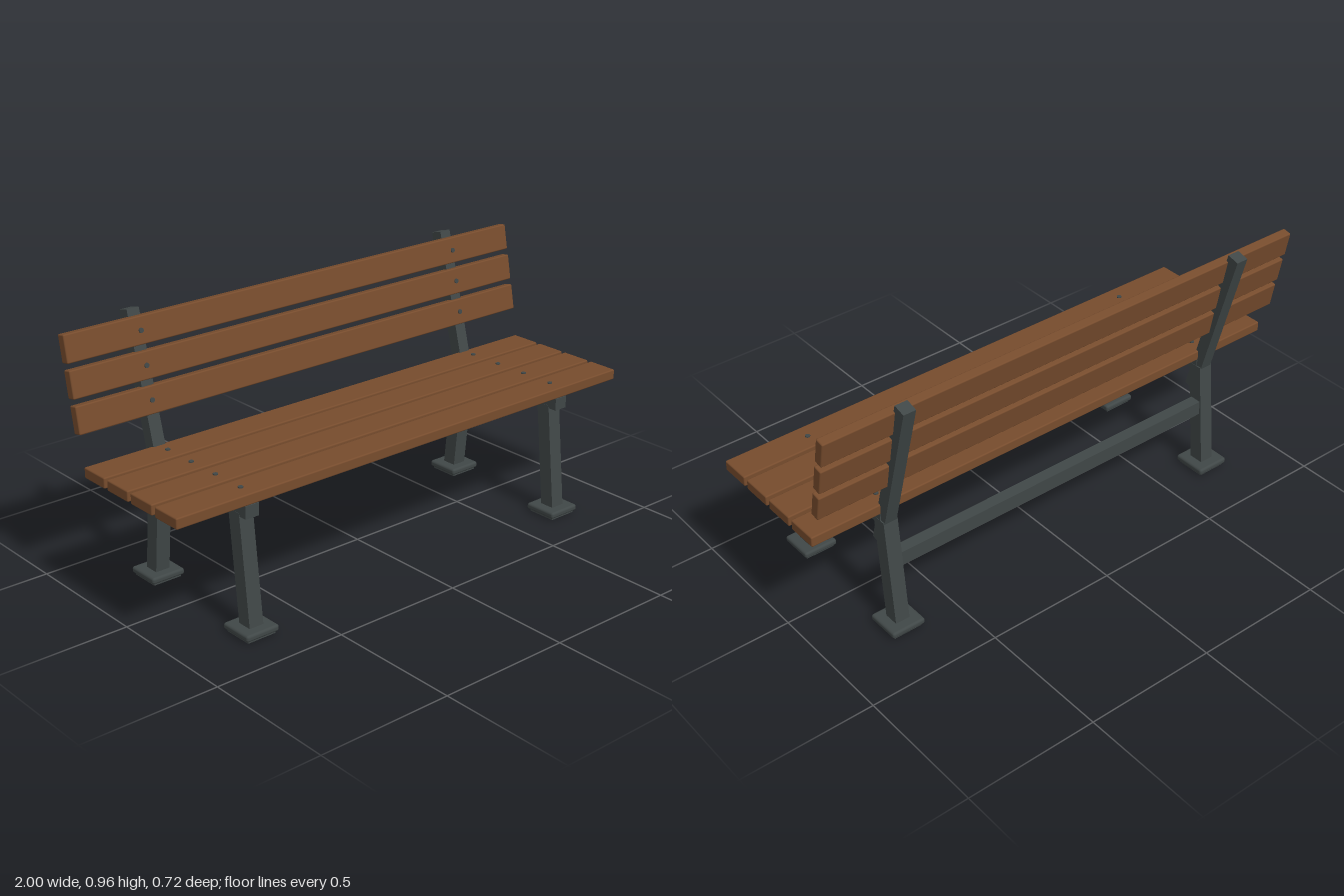
import * as THREE from 'three';
import { RoundedBoxGeometry } from 'three/addons/geometries/RoundedBoxGeometry.js';

const wood = new THREE.MeshStandardMaterial({ color: 0x774c2d });
wood.name = 'brown wood';
const steel = new THREE.MeshStandardMaterial({ color: 0x404747 });
steel.name = 'dark grey steel';

const FRAME_X = 0.71;
const SLAT_TILT = -0.183;
const POST_TILT = -0.26;

function add(parent, name, geometry, material, x, y, z, tilt = 0) {
  const mesh = new THREE.Mesh(geometry, material);
  mesh.name = name;
  mesh.position.set(x, y, z);
  mesh.rotation.x = tilt;
  parent.add(mesh);
  return mesh;
}

// Upright with level ends whose top is shifted along z
function leaningLeg(width, depth, y0, y1, z0, z1) {
  const g = new THREE.BoxGeometry(width, y1 - y0, depth);
  const p = g.attributes.position;
  for (let i = 0; i < p.count; i++) {
    const top = p.getY(i) > 0;
    p.setY(i, top ? y1 : y0);
    p.setZ(i, p.getZ(i) + (top ? z1 : z0));
  }
  g.computeVertexNormals();
  return g;
}

// A plank with a bolt head over each frame; its broad face is local +y
function slat(parent, name, width, thickness, y, z, tilt) {
  const group = new THREE.Group();
  group.name = name;
  group.position.set(0, y, z);
  group.rotation.x = tilt;
  add(group, 'plank', new RoundedBoxGeometry(2, thickness, width, 2, 0.005), wood, 0, 0, 0);
  for (const side of [-1, 1]) {
    add(group, 'bolt', new THREE.CylinderGeometry(0.009, 0.009, 0.008, 12), steel,
      side * FRAME_X, thickness / 2, 0);
  }
  parent.add(group);
}

function sideFrame(x) {
  const frame = new THREE.Group();
  frame.name = x > 0 ? 'leftFrame' : 'rightFrame';
  frame.position.x = x;

  // Legs
  add(frame, 'frontLeg', leaningLeg(0.056, 0.056, 0.025, 0.43, 0.295, 0.253), steel, 0, 0, 0);
  add(frame, 'backLeg', leaningLeg(0.056, 0.056, 0.025, 0.44, -0.237, -0.195), steel, 0, 0, 0);

  // Feet: rounded plate over a smaller pad
  for (const z of [0.294, -0.237]) {
    add(frame, 'footPlate', new RoundedBoxGeometry(0.132, 0.024, 0.132, 3, 0.009), steel, 0, 0.02, z);
    add(frame, 'footPad', new THREE.BoxGeometry(0.112, 0.012, 0.112), steel, 0, 0.006, z);
  }

  // Seat rail and backrest post
  add(frame, 'seatRail', new THREE.BoxGeometry(0.054, 0.045, 0.518), steel, 0, 0.4425, 0.056);
  add(frame, 'backPost', new THREE.BoxGeometry(0.048, 0.641, 0.047), steel, 0, 0.644, -0.255, POST_TILT);
  return frame;
}

export function createModel() {
  const bench = new THREE.Group();
  bench.name = 'bench';

  bench.add(sideFrame(FRAME_X), sideFrame(-FRAME_X));
  add(bench, 'crossBar', new THREE.BoxGeometry(1.38, 0.055, 0.045), steel, 0, 0.268, -0.212);

  // Seat
  for (let i = 0; i < 4; i++) {
    slat(bench, 'seatSlat', 0.118, 0.039, 0.485, 0.256 - i * 0.1337, 0);
  }

  // Backrest
  for (let i = 0; i < 3; i++) {
    slat(bench, 'backSlat', 0.097, 0.036, 0.656 + i * 0.1165, -0.242 - i * 0.0235, Math.PI / 2 + SLAT_TILT);
  }
  return bench;
}
